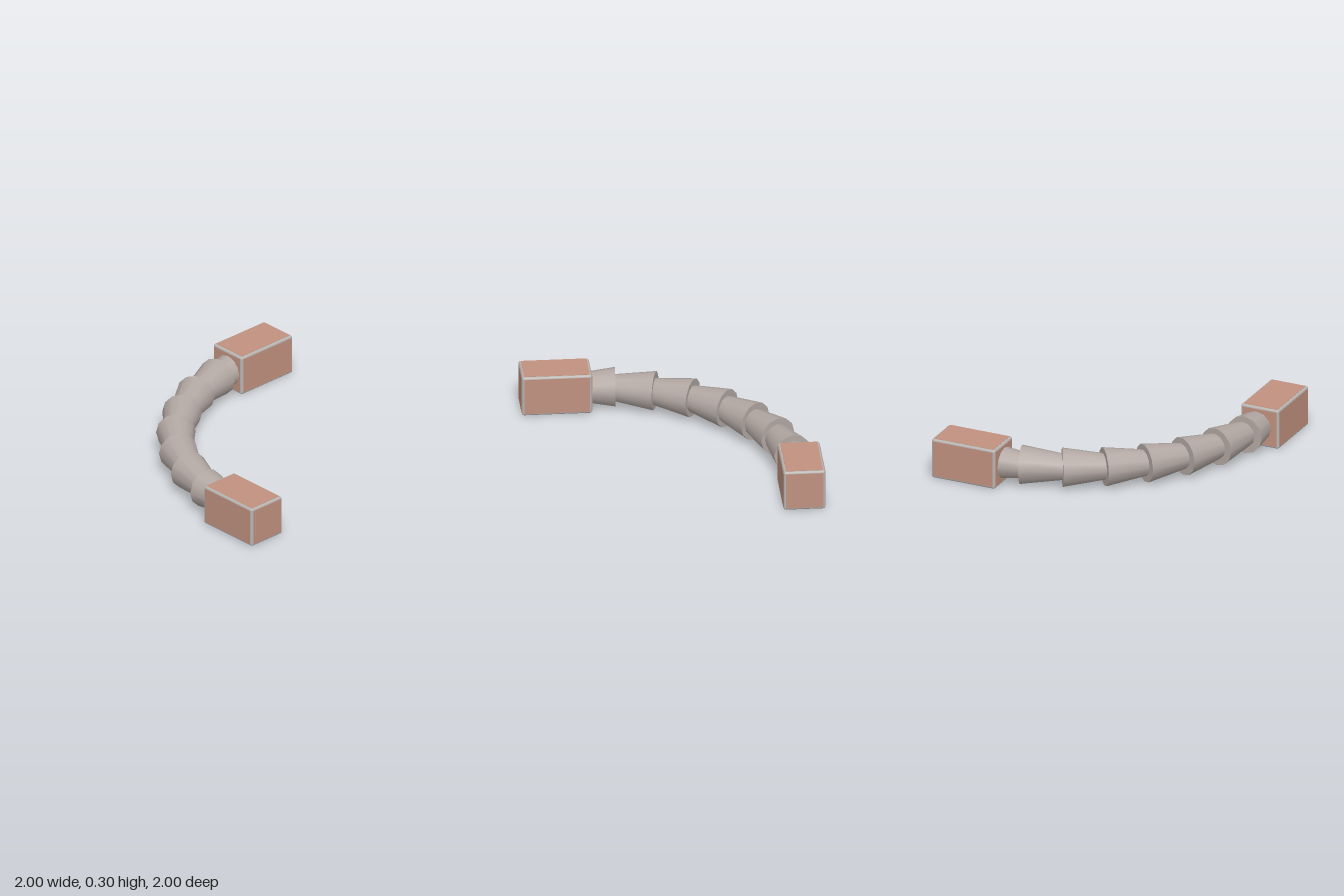
import * as THREE from 'three';
import { RoundedBoxGeometry } from 'three/addons/geometries/RoundedBoxGeometry.js';

const mat = (name, color) => {
  const m = new THREE.MeshStandardMaterial({ color });
  m.name = name;
  return m;
};

export function createModel() {
  const clay = mat('clay panel', 0xc0917f);
  const trim = mat('grey trim', 0xb8b4b2);
  const hose = mat('warm grey hose', 0xb3a8a3);
  const model = new THREE.Group();
  model.name = 'jointedHose';

  const add = (parent, name, geometry, material) => {
    const mesh = new THREE.Mesh(geometry, material);
    mesh.name = name;
    parent.add(mesh);
    return mesh;
  };

  // End block: rounded trim core with slightly raised panels on all six faces
  const H = 0.3, L = 0.5, EDGE = 0.018, RAISE = 0.002;
  function endBlock(name, x, z, turn) {
    const block = new THREE.Group();
    block.name = name;
    add(block, 'edgeTrim',
      new RoundedBoxGeometry(L - 2 * RAISE, H - 2 * RAISE, H - 2 * RAISE, 2, 0.016), trim);
    const size = [L, H, H];
    ['endPanels', 'topBottomPanels', 'sidePanels'].forEach((label, axis) => {
      const s = size.map((v, i) => (i === axis ? v : v - 2 * EDGE));
      add(block, label, new THREE.BoxGeometry(...s), clay);
    });
    block.position.set(x, H / 2, z);
    block.rotation.y = turn;
    model.add(block);
  }
  endBlock('leftBlock', 0.75, 0.85, 0);
  endBlock('backBlock', -0.85, -0.75, Math.PI / 2);

  // Curved chain of tapered sleeves; each wide mouth covers the previous narrow tip
  const hoseGroup = new THREE.Group();
  hoseGroup.name = 'hose';
  model.add(hoseGroup);
  const mouths = [
    [-0.855, -0.67], [-0.82, -0.38], [-0.74, -0.095], [-0.605, 0.165],
    [-0.425, 0.395], [-0.2, 0.585], [0.055, 0.725], [0.33, 0.815],
  ];
  const LENGTH = 0.32;
  const sleeve = new THREE.CylinderGeometry(0.091, 0.14, LENGTH, 12)
    .translate(0, LENGTH / 2, 0)
    .rotateX(Math.PI / 2);
  mouths.forEach(([x, z], i) => {
    const part = add(hoseGroup, `sleeve${i + 1}`, sleeve, hose);
    part.position.set(x, H / 2, z);
    part.rotation.y = THREE.MathUtils.degToRad(5.5 + 11.5 * i);
  });

  return model;
}
